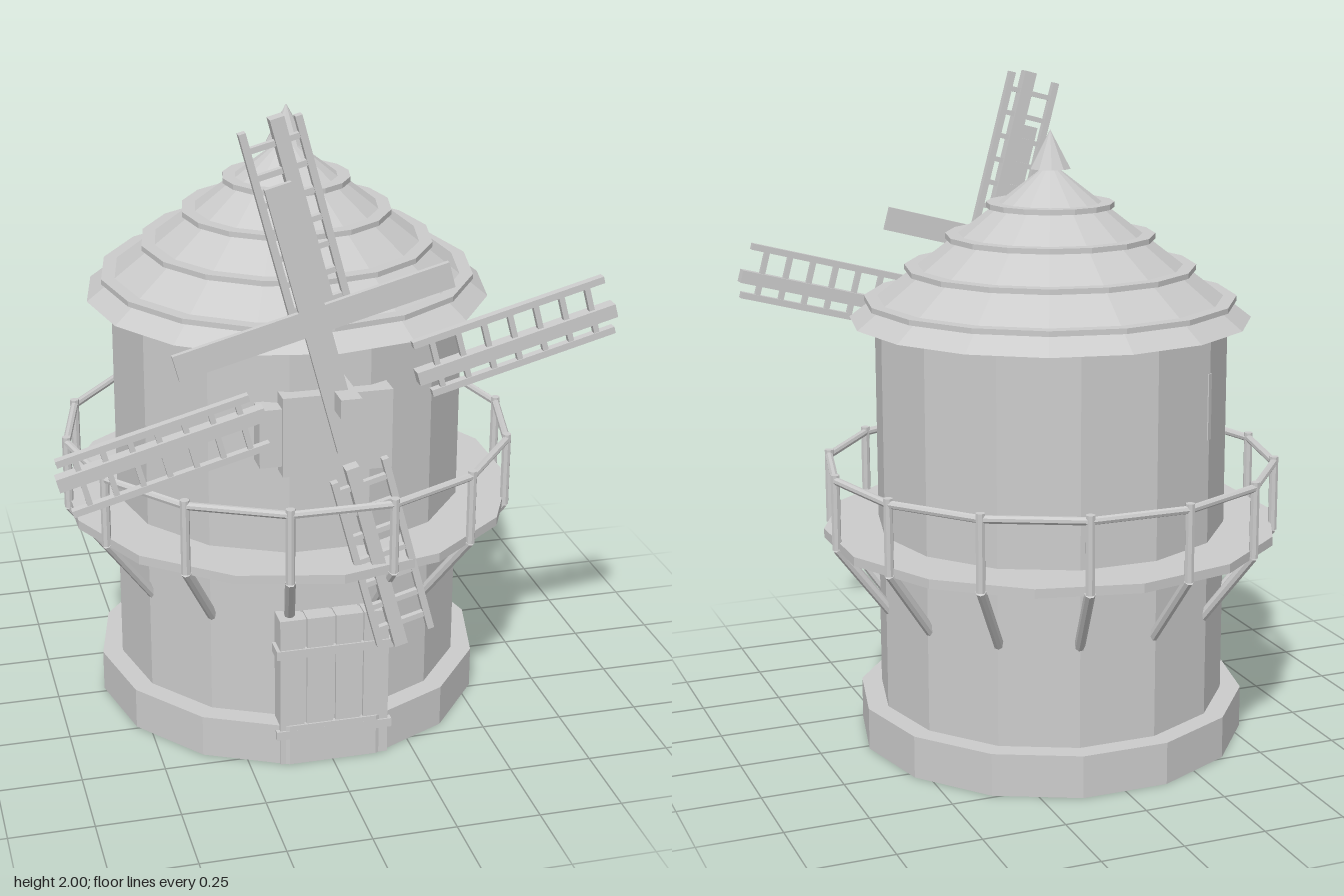
import * as THREE from 'three';

const SIDES = 14;
const mat = new THREE.MeshStandardMaterial({ color: 0xcccccc, flatShading: true });

function add(parent, name, geo, x = 0, y = 0, z = 0) {
  const m = new THREE.Mesh(geo, mat);
  m.name = name;
  m.position.set(x, y, z);
  parent.add(m);
  return m;
}

// box given by its minimum and maximum corners
function box(parent, name, x0, x1, y0, y1, z0, z1) {
  return add(parent, name, new THREE.BoxGeometry(x1 - x0, y1 - y0, z1 - z0),
    (x0 + x1) / 2, (y0 + y1) / 2, (z0 + z1) / 2);
}

// upright faceted drum from y0 to y1; turn = PI/2 puts a corner on the x axis
function drum(parent, name, rBottom, rTop, y0, y1, sides = SIDES, turn = Math.PI / 2) {
  const m = add(parent, name, new THREE.CylinderGeometry(rTop, rBottom, y1 - y0, sides), 0, (y0 + y1) / 2, 0);
  m.rotation.y = turn;
  return m;
}

// round bar between two points
function bar(parent, name, a, b, r) {
  const d = b.clone().sub(a);
  const m = add(parent, name, new THREE.CylinderGeometry(r, r, d.length(), 8));
  m.position.copy(a).add(b).multiplyScalar(0.5);
  m.quaternion.setFromUnitVectors(new THREE.Vector3(0, 1, 0), d.normalize());
  return m;
}

const polar = (r, a, y) => new THREE.Vector3(r * Math.cos(a), y, r * Math.sin(a));

function buildTower() {
  const g = new THREE.Group();
  g.name = 'tower';
  drum(g, 'plinth', 0.6, 0.6, 0, 0.13);
  drum(g, 'wall', 0.537, 0.537, 0.13, 1.32);
  // narrow slit at the back
  const a = Math.PI + (2 * Math.PI / SIDES) * 2;
  const p = polar(0.533, a, 1.09);
  add(g, 'slit', new THREE.BoxGeometry(0.02, 0.2, 0.01), p.x, p.y, p.z).rotation.y = Math.PI / 2 - a;
  return g;
}

function buildRoof() {
  const g = new THREE.Group();
  g.name = 'roof';
  drum(g, 'roofCone', 0.61, 0, 1.31, 1.78, 16);
  // raised course rings
  for (let i = 0; i < 4; i++) {
    const y = 1.36 + i * 0.095;
    const r = 0.565 - i * 0.124;
    drum(g, 'roofRing', r, r, y, y + 0.016, 16);
  }
  drum(g, 'finial', 0.063, 0, 1.76, 1.875, 10);
  return g;
}

function buildBalcony() {
  const g = new THREE.Group();
  g.name = 'balcony';
  drum(g, 'deck', 0.7, 0.7, 0.645, 0.673, SIDES, 0);
  const step = (2 * Math.PI) / SIDES;
  for (let i = 0; i < SIDES; i++) {
    const a = i * step;
    bar(g, 'post', polar(0.688, a, 0.65), polar(0.688, a, 0.882), 0.014);
    bar(g, 'rail', polar(0.688, a, 0.864), polar(0.688, a + step, 0.864), 0.012);
    bar(g, 'brace', polar(0.685, a, 0.652), polar(0.52, a, 0.432), 0.016);
  }
  return g;
}

function buildDoor() {
  const g = new THREE.Group();
  g.name = 'door';
  // four planks with narrow gaps
  const edges = [-0.165, -0.083, 0.005, 0.09, 0.175];
  for (let i = 0; i < 4; i++) {
    box(g, 'plank', edges[i] + 0.004, edges[i + 1] - 0.004, 0, 0.48, 0.49, 0.56);
  }
  box(g, 'doorBack', -0.16, 0.17, 0, 0.475, 0.49, 0.55);
  // cross battens
  for (const y of [0.1, 0.37]) box(g, 'batten', -0.172, 0.182, y - 0.014, y + 0.014, 0.5, 0.565);
  return g;
}

function buildWindow() {
  const g = new THREE.Group();
  g.name = 'window';
  box(g, 'windowPanel', -0.15, 0.172, 0.935, 1.175, 0.47, 0.55);
  box(g, 'windowSide', -0.215, -0.14, 0.965, 1.14, 0.47, 0.54);
  return g;
}

// one sail, pointing along +x
function buildSail() {
  const g = new THREE.Group();
  g.name = 'sail';
  box(g, 'spar', 0.22, 0.82, -0.047, -0.007, -0.02, 0.02);
  box(g, 'upperRail', 0.23, 0.806, 0.062, 0.082, -0.012, 0.012);
  box(g, 'lowerRail', 0.25, 0.806, -0.096, -0.076, -0.012, 0.012);
  for (let i = 0; i < 7; i++) {
    const x = 0.285 + i * 0.078;
    box(g, 'rung', x - 0.008, x + 0.008, -0.086, 0.072, -0.009, 0.009);
  }
  return g;
}

function buildRotor() {
  const g = new THREE.Group();
  g.name = 'rotor';
  g.position.set(0, 1.2, 0);
  box(g, 'shaft', -0.03, 0.03, -0.028, 0.028, 0.48, 0.727);
  const sails = new THREE.Group();
  sails.name = 'sails';
  sails.position.z = 0.617;
  sails.rotation.z = Math.PI / 12;
  g.add(sails);
  for (let i = 0; i < 4; i++) {
    const s = buildSail();
    s.rotation.z = (i * Math.PI) / 2;
    sails.add(s);
  }
  // crossed planks in front of the upper sail
  for (const turn of [0, Math.PI / 2]) {
    const p = add(g, 'crossPlank', new THREE.BoxGeometry(0.8, 0.075, 0.016), -0.085, 0.235, 0.648);
    p.rotation.z = Math.PI / 12 + turn;
  }
  return g;
}

export function createModel() {
  const model = new THREE.Group();
  model.name = 'windmill';
  const body = new THREE.Group();
  body.name = 'body';
  body.position.z = -0.02;
  body.add(buildTower(), buildRoof(), buildBalcony());
  model.add(body, buildDoor(), buildWindow(), buildRotor());
  return model;
}
